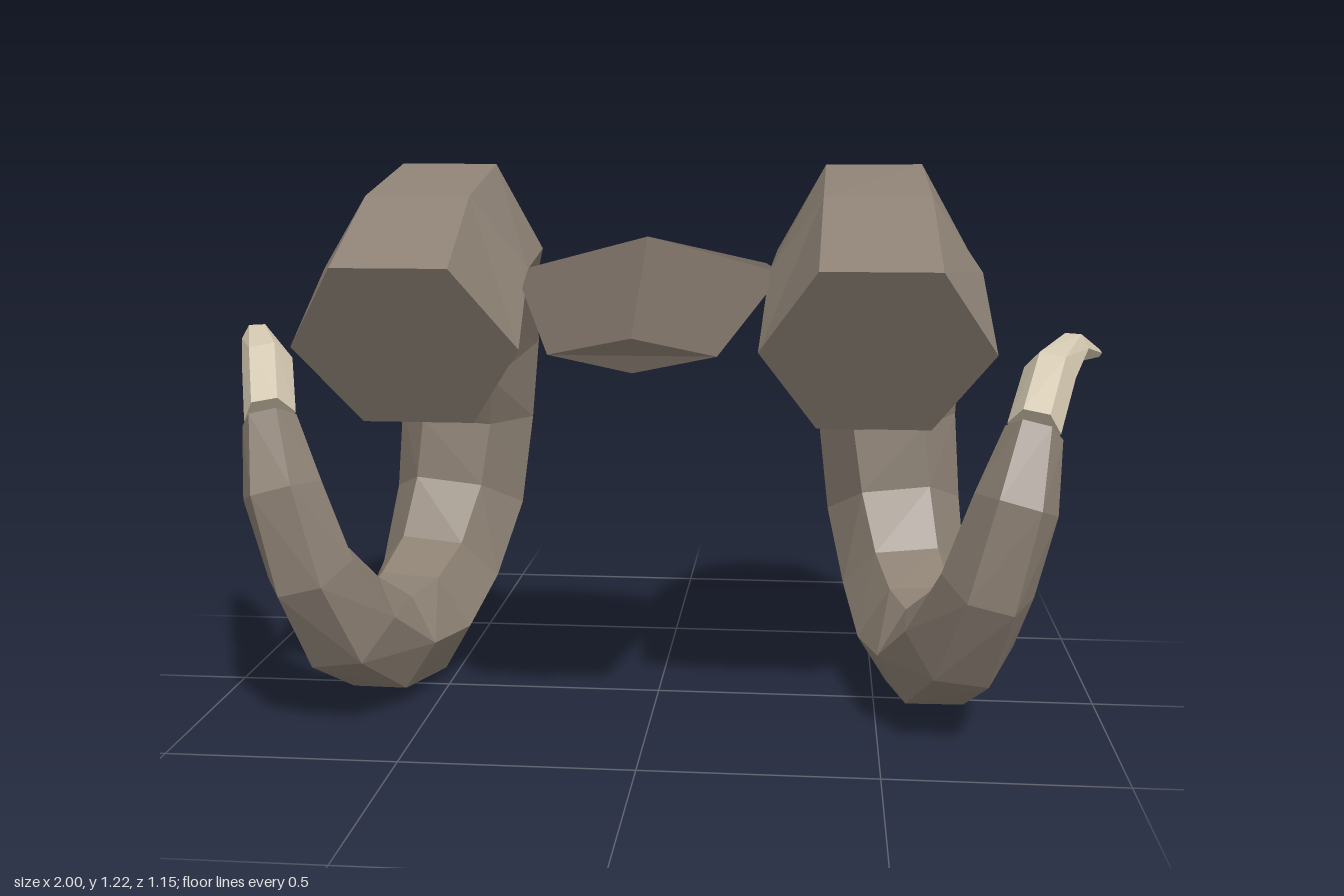
import * as THREE from 'three';

// Skin closed rings of equal vertex count and cap both ends; winding is fixed by signed volume.
function loft(rings, material, name) {
  const tris = [];
  const n = rings[0].length;
  for (let i = 0; i < rings.length - 1; i++) {
    for (let j = 0; j < n; j++) {
      const k = (j + 1) % n;
      const a = rings[i][j], b = rings[i][k], c = rings[i + 1][k], d = rings[i + 1][j];
      tris.push([a, b, c], [a, c, d]);
    }
  }
  const last = rings[rings.length - 1];
  for (let j = 1; j < n - 1; j++) {
    tris.push([rings[0][0], rings[0][j + 1], rings[0][j]]);
    tris.push([last[0], last[j], last[j + 1]]);
  }
  let volume = 0;
  for (const [a, b, c] of tris) volume += a.dot(new THREE.Vector3().crossVectors(b, c));
  if (volume < 0) tris.forEach((t) => t.reverse());
  const geometry = new THREE.BufferGeometry().setFromPoints(tris.flat());
  geometry.computeVertexNormals();
  const mesh = new THREE.Mesh(geometry, material);
  mesh.name = name;
  return mesh;
}

// Hexagonal rings from stations [outerZ, outerY, innerZ, innerY, centreX, radius].
function hexRings(stations, mirror) {
  const outer = stations.map((s) => new THREE.Vector3(s[4], s[1], s[0]));
  const inner = stations.map((s) => new THREE.Vector3(s[4], s[3], s[2]));
  const centre = outer.map((o, i) => o.clone().add(inner[i]).multiplyScalar(0.5));
  return stations.map((s, i) => {
    const next = centre[Math.min(i + 1, centre.length - 1)];
    const tangent = next.clone().sub(centre[Math.max(i - 1, 0)]).normalize();
    // sideways axis leans with the outward drift of the spiral
    const side = new THREE.Vector3(1, 0, 0).addScaledVector(tangent, -tangent.x).normalize();
    const at = (p, f) => p.clone().addScaledVector(side, f * s[5]);
    const ring = [
      at(outer[i], -0.5), at(outer[i], 0.5), at(centre[i], 1),
      at(inner[i], 0.5), at(inner[i], -0.5), at(centre[i], -1),
    ];
    ring.forEach((p) => { p.x *= mirror; });
    return ring;
  });
}

// Spiral horn, from its thick base round to the thin end
const HORN = [
  [0.56, 1.03, 0.34, 0.69, 0.475, 0.235],
  [0.30, 1.16, 0.18, 0.85, 0.475, 0.22],
  [-0.02, 1.22, 0.01, 0.845, 0.475, 0.21],
  [-0.31, 1.085, -0.13, 0.83, 0.505, 0.19],
  [-0.535, 0.87, -0.24, 0.70, 0.525, 0.185],
  [-0.575, 0.59, -0.30, 0.58, 0.535, 0.17],
  [-0.55, 0.31, -0.29, 0.43, 0.555, 0.165],
  [-0.36, 0.115, -0.20, 0.30, 0.58, 0.15],
  [-0.13, 0.0, -0.065, 0.245, 0.605, 0.142],
  [0.14, 0.035, 0.065, 0.23, 0.63, 0.13],
  [0.34, 0.15, 0.18, 0.30, 0.67, 0.12],
  [0.44, 0.34, 0.275, 0.40, 0.715, 0.10],
  [0.45, 0.56, 0.295, 0.53, 0.765, 0.088],
  [0.375, 0.715, 0.29, 0.66, 0.80, 0.06],
];

// Pale pointed end of the horn
const TIP = [
  [0.36, 0.735, 0.295, 0.655, 0.80, 0.055],
  [0.23, 0.835, 0.165, 0.75, 0.845, 0.055],
  [0.065, 0.86, 0.06, 0.80, 0.91, 0.036],
  [-0.085, 0.807, -0.085, 0.79, 0.987, 0.012],
];

// Diamond cross-sections of the bridge: [halfWidth, sideY, sideZ, topY, topZ, bottomY, bottomZ]
const BRIDGE = [
  [0.24, 1.0, -0.035, 1.05, -0.04, 0.955, -0.035],
  [0.283, 1.0, 0.235, 1.075, 0.24, 0.925, 0.235],
  [0.165, 0.865, 0.555, 0.90, 0.57, 0.83, 0.55],
];

export function createModel() {
  const flat = (name, color) => {
    const m = new THREE.MeshStandardMaterial({ color, flatShading: true });
    m.name = name;
    return m;
  };
  const hornBrown = flat('hornBrown', 0x8d8174);
  const bridgeBrown = flat('bridgeBrown', 0x6e645a);
  const ivory = flat('ivory', 0xd3c8b0);

  const model = new THREE.Group();
  model.name = 'curledHorns';

  for (const [label, mirror] of [['left', 1], ['right', -1]]) {
    const horn = new THREE.Group();
    horn.name = label + 'HornGroup';
    horn.add(loft(hexRings(HORN, mirror), hornBrown, label + 'Horn'));
    horn.add(loft(hexRings(TIP, mirror), ivory, label + 'HornTip'));
    model.add(horn);
  }

  const bridgeRings = BRIDGE.map(([w, y, z, ty, tz, by, bz]) => [
    new THREE.Vector3(w, y, z),
    new THREE.Vector3(0, ty, tz),
    new THREE.Vector3(-w, y, z),
    new THREE.Vector3(0, by, bz),
  ]);
  model.add(loft(bridgeRings, bridgeBrown, 'browBridge'));
  return model;
}
